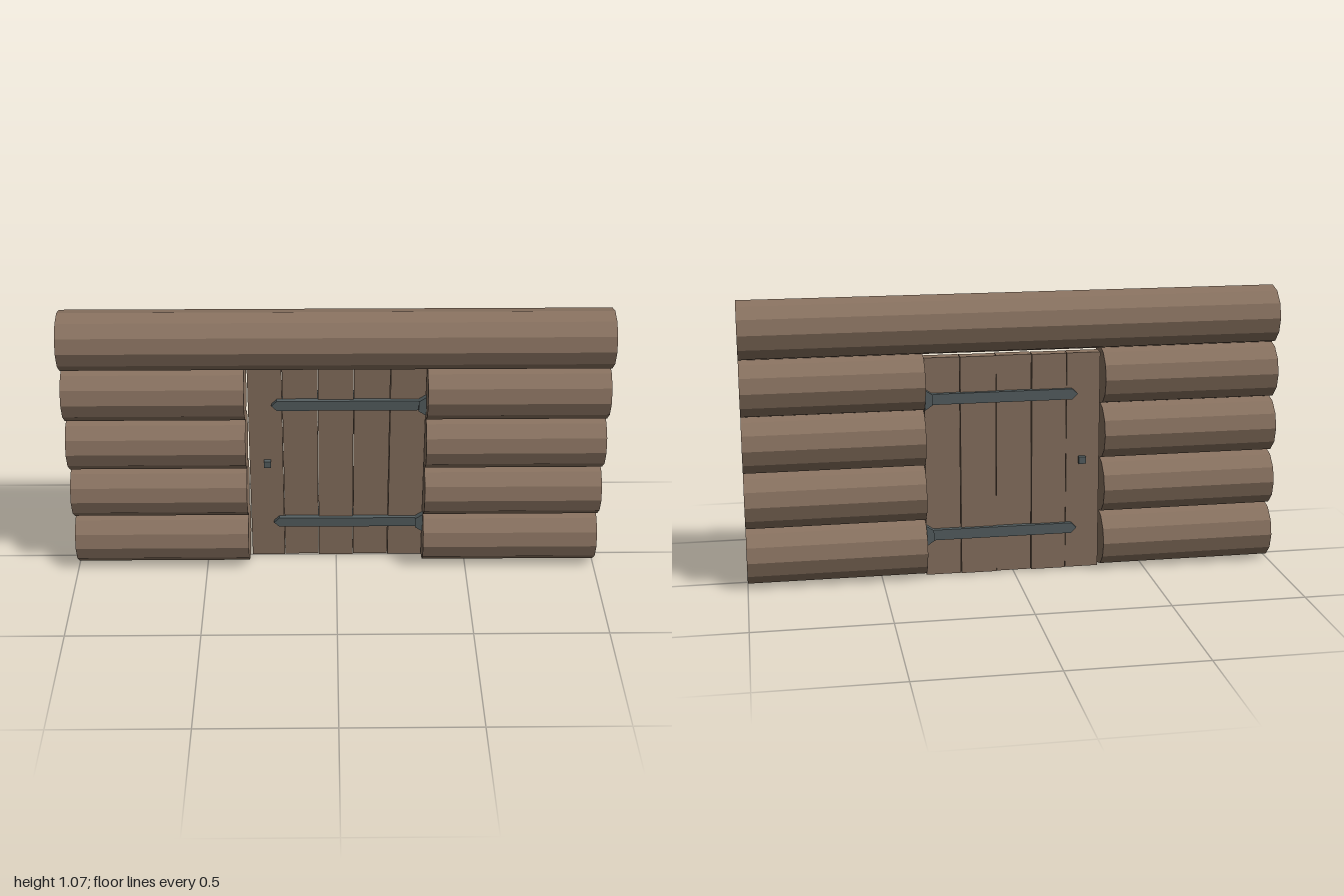
import * as THREE from 'three';

const wood = new THREE.MeshStandardMaterial({ color: 0x8a7361, flatShading: true });
const iron = new THREE.MeshStandardMaterial({ color: 0x566062, flatShading: true });

const DOOR_Z = -0.021; // middle plane of the door

function add(parent, name, geometry, material, x = 0, y = 0, z = 0) {
  const mesh = new THREE.Mesh(geometry, material);
  mesh.name = name;
  mesh.position.set(x, y, z);
  parent.add(mesh);
  return mesh;
}

// Twelve-sided log lying along x
function addLog(parent, name, x0, x1, y) {
  const geometry = new THREE.CylinderGeometry(0.11, 0.11, x1 - x0, 12);
  geometry.rotateZ(Math.PI / 2);
  add(parent, name, geometry, wood, (x0 + x1) / 2, y, 0);
}

// Flat outline given thickness, centred on its own z
function plate(points, depth) {
  const shape = new THREE.Shape(points.map(([x, y]) => new THREE.Vector2(x, y)));
  const geometry = new THREE.ExtrudeGeometry(shape, { depth, bevelEnabled: false });
  return geometry.translate(0, 0, -depth / 2);
}

export function createModel() {
  const model = new THREE.Group();
  model.name = 'logWallWithDoor';

  // Stacked wall logs either side of the doorway, one full log on top
  const wall = new THREE.Group();
  wall.name = 'logWall';
  model.add(wall);
  for (let i = 0; i < 4; i++) {
    const y = 0.111 + i * 0.212;
    addLog(wall, 'rightWallLog', -1, -0.336, y);
    addLog(wall, 'leftWallLog', 0.333, 1, y);
  }
  addLog(wall, 'lintelLog', -1, 1, 0.959);

  const door = new THREE.Group();
  door.name = 'door';
  door.position.z = DOOR_Z;
  model.add(door);

  // Five planks, each set slightly in or out
  const edges = [-0.328, -0.2, -0.068, 0.065, 0.2, 0.333];
  const offsets = [0, -0.003, 0.003, -0.002, 0.002];
  offsets.forEach((z, i) => {
    const width = edges[i + 1] - edges[i] - 0.002;
    const geometry = new THREE.BoxGeometry(width, 0.838, 0.048);
    add(door, 'doorPlank', geometry, wood, (edges[i] + edges[i + 1]) / 2, 0.424, z);
  });

  // Strap hinges: pointed tip, flared plate against the door jamb, on both faces
  const strap = [[-0.24, 0], [-0.22, -0.02], [0.31, -0.02], [0.31, 0.02], [-0.22, 0.02]];
  const flare = [[0.305, -0.02], [0.333, -0.039], [0.333, 0.039], [0.305, 0.02]];
  for (const y of [0.167, 0.69]) {
    for (const side of [-1, 1]) {
      add(door, 'hingeStrap', plate(strap, 0.02), iron, 0, y, side * 0.031);
      add(door, 'hingePlate', plate(flare, 0.026), iron, 0, y, side * 0.036);
    }
  }

  // Square knob passing through the door
  add(door, 'doorKnob', new THREE.BoxGeometry(0.027, 0.027, 0.084), iron, -0.26, 0.432, 0);

  return model;
}
